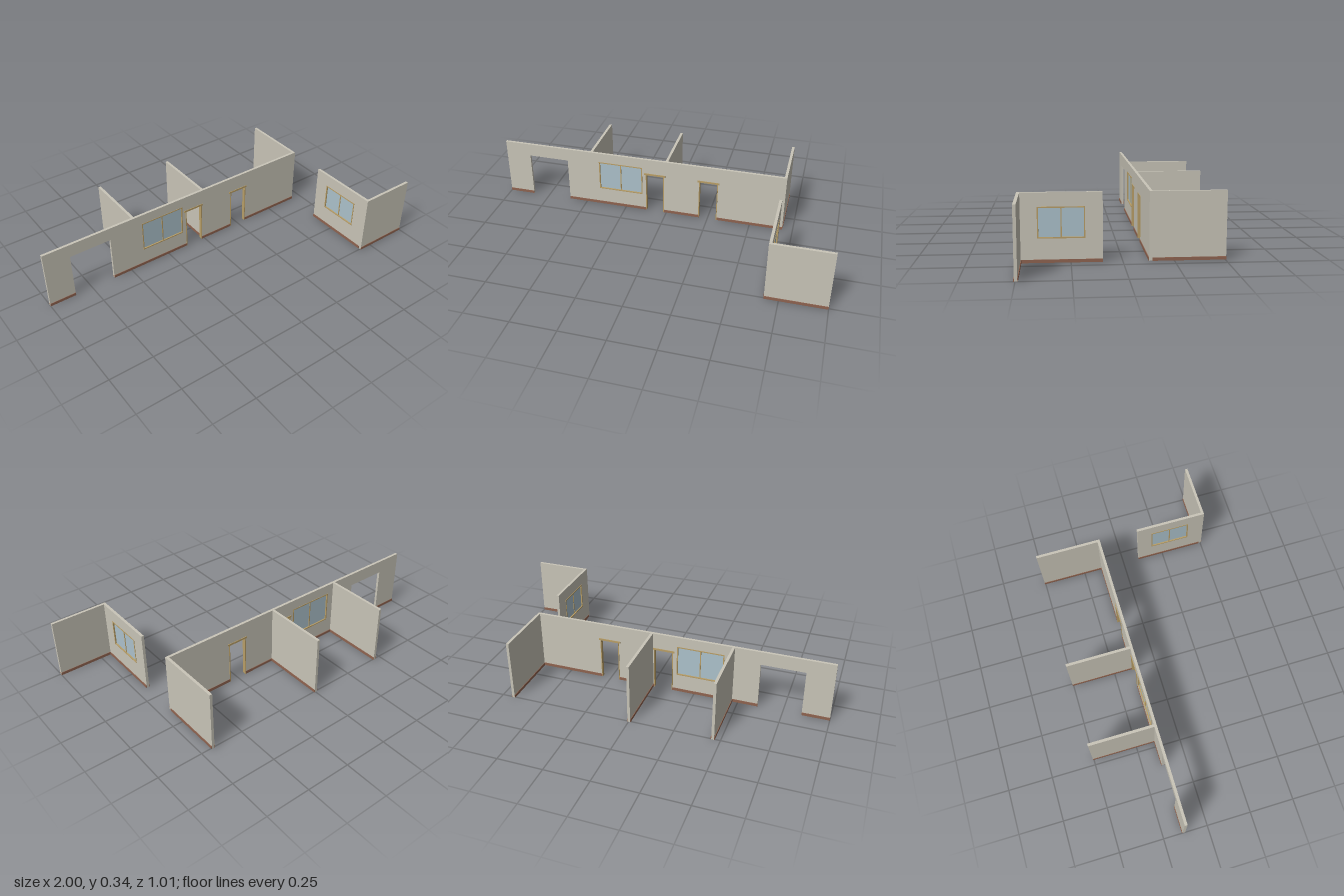
import * as THREE from 'three';

const H = 0.342, T = 0.015, SKIRT = 0.016;
const material = (name, color) => {
  const m = new THREE.MeshStandardMaterial({ color });
  m.name = name;
  return m;
};

export function createModel() {
  const model = new THREE.Group();
  model.name = 'houseWalls';
  const plaster = material('plaster', 0xc9c5b8);
  const skirtBrown = material('skirtingBrown', 0x8f6450);
  const trim = material('goldenTrim', 0xb99f68);
  const glass = material('windowGlass', 0xadc2cc);

  // Box given by its x, y and z limits
  function box(parent, name, mat, x0, x1, y0, y1, z0, z1) {
    const mesh = new THREE.Mesh(new THREE.BoxGeometry(x1 - x0, y1 - y0, z1 - z0), mat);
    mesh.position.set((x0 + x1) / 2, (y0 + y1) / 2, (z0 + z1) / 2);
    mesh.name = name;
    parent.add(mesh);
  }

  // Tan lining and head piece around a doorway
  function doorFrame(g, { x0, x1, top }) {
    const d = T / 2 + 0.003, w = 0.005;
    box(g, 'doorJamb', trim, x0 - 0.003, x0 + w - 0.003, 0, top, -d, d);
    box(g, 'doorJamb', trim, x1 - w + 0.003, x1 + 0.003, 0, top, -d, d);
    box(g, 'doorHead', trim, x0 - 0.012, x1 + 0.01, top - 0.002, top + 0.009, -d, d);
  }

  // Two-pane window with frame and centre bar
  function windowUnit(g, { x0, x1, y0, y1 }) {
    const d = T / 2 + 0.002, w = 0.006, mid = (x0 + x1) / 2;
    box(g, 'windowGlass', glass, x0, x1, y0, y1, -0.002, 0.002);
    for (const x of [x0, x1 - w]) box(g, 'windowSide', trim, x, x + w, y0, y1, -d, d);
    for (const y of [y0, y1 - w]) box(g, 'windowRail', trim, x0 + w, x1 - w, y, y + w, -d, d);
    box(g, 'windowBar', trim, mid - 0.003, mid + 0.003, y0 + w, y1 - w, -0.005, 0.005);
  }

  // Wall along local x from a to b, with doorways (left to right) and windows
  function wall(name, a, b, doors = [], windows = []) {
    const g = new THREE.Group();
    g.name = name;
    const s = new THREE.Shape();
    s.moveTo(a, 0);
    for (const { x0, x1, top } of doors) {
      s.lineTo(x0, 0);
      s.lineTo(x0, top);
      s.lineTo(x1, top);
      s.lineTo(x1, 0);
    }
    s.lineTo(b, 0);
    s.lineTo(b, H);
    s.lineTo(a, H);
    s.closePath();
    for (const { x0, x1, y0, y1 } of windows) {
      const hole = new THREE.Path();
      hole.moveTo(x0, y0);
      hole.lineTo(x0, y1);
      hole.lineTo(x1, y1);
      hole.lineTo(x1, y0);
      hole.closePath();
      s.holes.push(hole);
    }
    const geo = new THREE.ExtrudeGeometry(s, { depth: T, bevelEnabled: false });
    geo.translate(0, 0, -T / 2);
    const panel = new THREE.Mesh(geo, plaster);
    panel.name = 'wallPanel';
    g.add(panel);

    // Skirting on both faces between the doorways
    const stops = [a, ...doors.flatMap((d) => [d.x0, d.x1]), b];
    for (let i = 0; i < stops.length; i += 2) {
      for (const z of [-T / 2 - 0.003, T / 2]) {
        box(g, 'skirting', skirtBrown, stops[i], stops[i + 1], 0, SKIRT, z, z + 0.003);
      }
    }
    doors.filter((d) => d.framed).forEach((d) => doorFrame(g, d));
    windows.forEach((w) => windowUnit(g, w));
    model.add(g);
    return g;
  }

  // Long main wall with a wide opening, two doorways and a window
  wall('mainWall', -1, 0.69, [
    { x0: -0.85, x1: -0.61, top: 0.266 },
    { x0: -0.122, x1: -0.017, top: 0.243, framed: true },
    { x0: 0.197, x1: 0.302, top: 0.243, framed: true },
  ], [{ x0: -0.413, x1: -0.147, y0: 0.106, y1: 0.285 }]).position.z = -0.135;

  // Walls running front to back (local x becomes z)
  const crossWall = (name, x, z0, z1, windows) => {
    const g = wall(name, z0, z1, [], windows);
    g.rotation.y = -Math.PI / 2;
    g.position.x = x;
  };
  crossWall('partition', -0.46, -0.505, -0.1425);
  crossWall('partition', -0.002, -0.505, -0.1425);
  crossWall('endWall', 0.6825, -0.505, -0.1425);
  crossWall('windowWall', 0.6825, 0.097, 0.49, [{ x0: 0.181, x1: 0.41, y0: 0.119, y1: 0.273 }]);

  // Short front wall
  wall('frontWall', 0.675, 1, [], []).position.z = 0.4975;

  return model;
}
